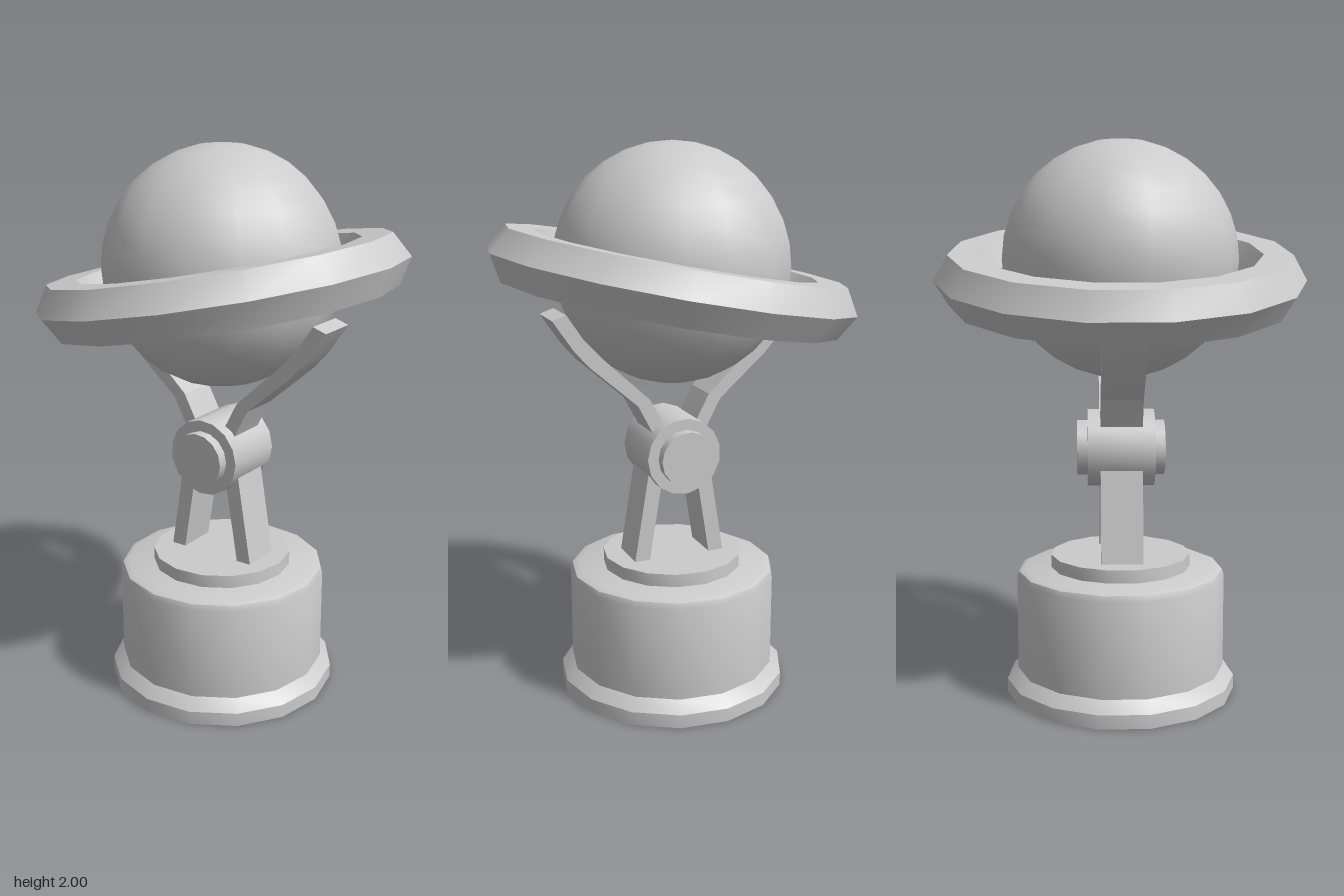
import * as THREE from 'three';
import { toCreasedNormals } from 'three/addons/utils/BufferGeometryUtils.js';

const SIDES = 15;
const CREASE = 0.6;
const DEPTH = 0.15;

export function createModel() {
  const model = new THREE.Group();
  model.name = 'planetTrophy';
  const material = new THREE.MeshStandardMaterial({ color: 0xcccccc });

  const add = (name, geometry, y = 0) => {
    const mesh = new THREE.Mesh(geometry, material);
    mesh.name = name;
    mesh.position.y = y;
    model.add(mesh);
    return mesh;
  };

  // Turned part with one corner on +x
  const turned = (profile) => toCreasedNormals(
    new THREE.LatheGeometry(profile.map(([r, y]) => new THREE.Vector2(r, y)), SIDES).rotateY(Math.PI / 2), CREASE);

  // Cylinder lying along z
  const barrel = (radius, length) => toCreasedNormals(
    new THREE.CylinderGeometry(radius, radius, length, SIDES).rotateY(Math.PI / 2).rotateX(Math.PI / 2), CREASE);

  // Flat bar cut from an outline in the xy plane; side = -1 mirrors it
  const bar = (outline, side) => {
    const points = outline.map(([x, y]) => new THREE.Vector2(x * side, y));
    const geometry = new THREE.ExtrudeGeometry(new THREE.Shape(points), { depth: DEPTH, bevelEnabled: false });
    return toCreasedNormals(geometry.translate(0, 0, -DEPTH / 2), 0.3);
  };

  // Pedestal: flared foot, drum with softened rim, raised disc
  add('pedestal', turned([
    [0, 0], [0.42, 0], [0.42, 0.05], [0.38, 0.09], [0.38, 0.435],
    [0.373, 0.455], [0.35, 0.465], [0, 0.465],
  ]));
  add('pedestalDisc', turned([[0.255, 0.46], [0.255, 0.512], [0, 0.512]]));

  // Pivot hub with end caps
  add('hub', barrel(0.14, 0.24), 0.905);
  add('hubPin', barrel(0.1, 0.315), 0.905);

  // Mirrored legs and cradle arms
  const leg = [[0.118, 0.505], [0.175, 0.505], [0.117, 0.86], [0.06, 0.86]];
  const arm = [
    [0.085, 0.95], [0.113, 1.01], [0.158, 1.095], [0.335, 1.25], [0.388, 1.31], [0.463, 1.42],
    [0.413, 1.437], [0.355, 1.35], [0.285, 1.275], [0.113, 1.115], [0.068, 1.03], [0.04, 0.97],
  ];
  for (const [label, side] of [['left', 1], ['right', -1]]) {
    add(label + 'Leg', bar(leg, side));
    add(label + 'Arm', bar(arm, side));
  }

  // Planet and its tilted hexagonal-section ring
  add('planet', new THREE.SphereGeometry(0.42, SIDES, 16).rotateY(Math.PI), 1.58);
  const ring = add('ring', toCreasedNormals(
    new THREE.TorusGeometry(0.556, 0.104, 6, SIDES).rotateX(Math.PI / 2), CREASE), 1.52);
  ring.rotation.z = THREE.MathUtils.degToRad(11);

  // Odd-sided parts reach further on +x, so shift to centre the whole
  for (const part of model.children) part.position.x = -0.007;
  return model;
}
